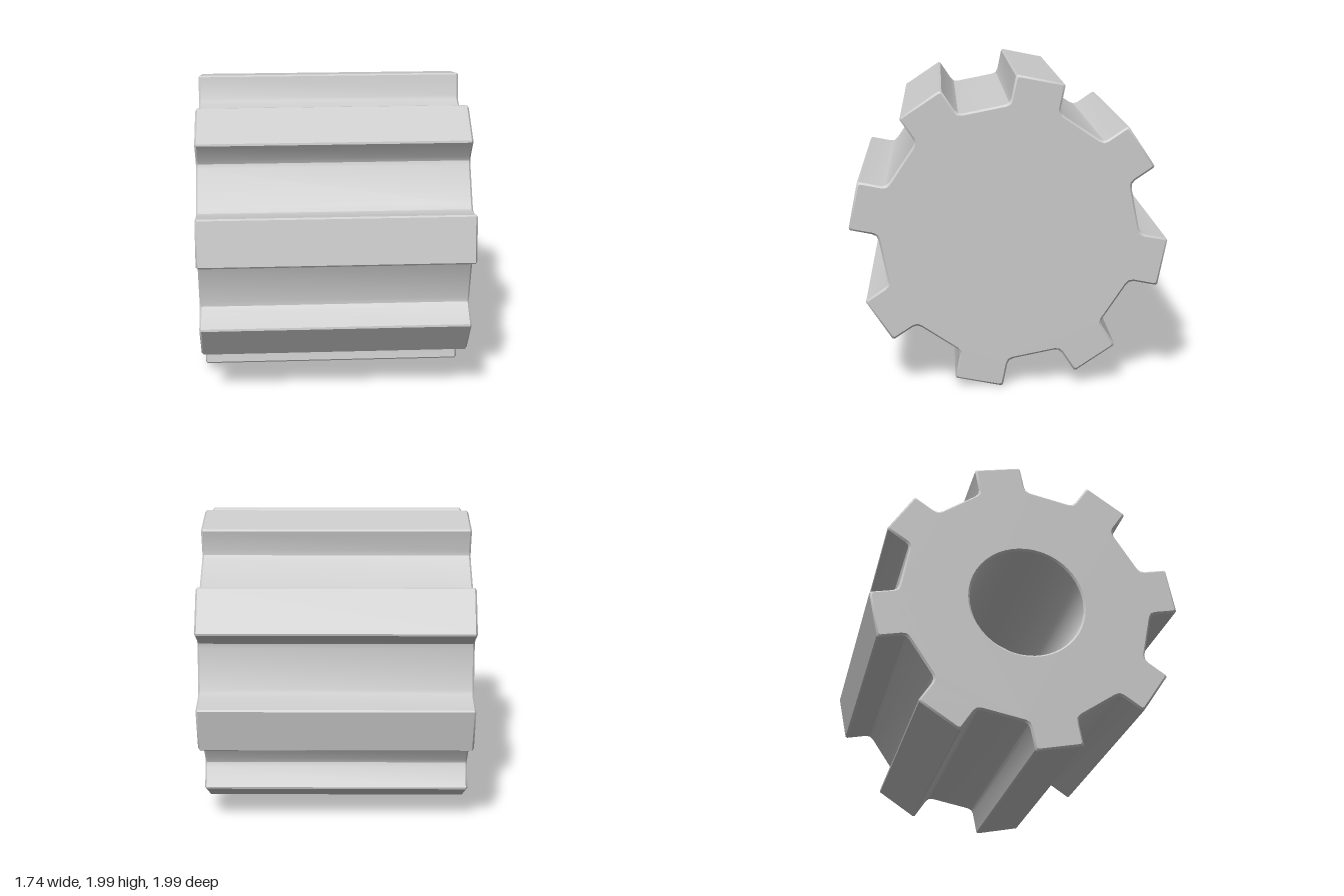
import * as THREE from 'three';
import { toCreasedNormals } from 'three/addons/utils/BufferGeometryUtils.js';

const TEETH = 8, HALF = 0.87, BEVEL = 0.012;
const HALF_TOOTH = 0.155, TIP = 0.988, ROOT = 0.804;
const BORE = 0.37, BORE_FLOOR = 0.5;

// Gear outline, counter-clockwise, shrunk by `inset`
function outline(inset) {
  const step = (2 * Math.PI) / TEETH, tilt = step / 4;
  const c = Math.cos(step / 2), s = Math.sin(step / 2);
  const w = HALF_TOOTH - inset, tip = TIP - inset;
  const root = (ROOT - inset - w * s) / c;
  const chamfer = 0.01, fillet = 0.035;
  // half a tooth: tip chamfer, then a small fillet into the root flat
  const half = [
    [w - chamfer, tip],
    [w, tip - chamfer],
    [w, root + fillet],
    [w + (fillet * c) / 4, root + (fillet * (1 - s)) / 4],
    [w + fillet * c, root - fillet * s],
  ];
  const tooth = [...half.map(([x, y]) => [-x, y]).reverse(), ...half];
  const points = [];
  for (let k = 0; k < TEETH; k++) {
    const a = Math.PI / 2 - tilt + k * step;
    for (const [side, r] of tooth) {
      points.push(new THREE.Vector2(
        r * Math.cos(a) + side * Math.sin(a),
        r * Math.sin(a) - side * Math.cos(a)));
    }
  }
  // each tooth is listed clockwise, so flip it within its own block
  const n = tooth.length, ordered = [];
  for (let k = 0; k < TEETH; k++) ordered.push(...points.slice(k * n, (k + 1) * n).reverse());
  return ordered;
}

// Toothed wall through bevelled cross-sections along z
function wallGeometry() {
  const sections = [
    [-HALF, BEVEL], [-HALF + BEVEL, 0], [HALF - BEVEL, 0], [HALF, BEVEL],
  ];
  const position = [], index = [];
  let n = 0;
  for (const [z, inset] of sections) {
    const loop = outline(inset);
    n = loop.length;
    for (const p of loop) position.push(p.x, p.y, z);
  }
  for (let j = 0; j < sections.length - 1; j++) {
    for (let i = 0; i < n; i++) {
      const a = j * n + i, b = j * n + (i + 1) % n;
      index.push(a, b, b + n, a, b + n, a + n);
    }
  }
  const geometry = new THREE.BufferGeometry();
  geometry.setAttribute('position', new THREE.Float32BufferAttribute(position, 3));
  geometry.setIndex(index);
  return toCreasedNormals(geometry, 0.62);
}

// Flat end; the far one is turned over and has the bore opening
function endGeometry(z, open) {
  const shape = new THREE.Shape(outline(BEVEL));
  if (open) shape.holes.push(new THREE.Path().absarc(0, 0, BORE + BEVEL, 0, 2 * Math.PI, true));
  const geometry = new THREE.ShapeGeometry(shape, 24);
  if (open) {
    geometry.index.array.reverse();
    geometry.attributes.normal.array.forEach((v, i, arr) => { arr[i] = -v; });
  }
  return geometry.translate(0, 0, z);
}

// Blind shaft hole with a chamfered mouth
function boreGeometry() {
  const profile = [
    [0, BORE_FLOOR], [BORE, BORE_FLOOR], [BORE, -HALF + BEVEL], [BORE + BEVEL, -HALF],
  ].map(([r, y]) => new THREE.Vector2(r, y));
  return toCreasedNormals(new THREE.LatheGeometry(profile, 48).rotateX(Math.PI / 2), 0.6);
}

export function createModel() {
  const group = new THREE.Group();
  group.name = 'pinionGear';
  const material = new THREE.MeshStandardMaterial({ color: 0xcccccc });
  const add = (name, geometry) => {
    // lay the gear axis along x
    const mesh = new THREE.Mesh(geometry.rotateY(Math.PI / 2).translate(0, 1, 0), material);
    mesh.name = name;
    group.add(mesh);
  };
  add('toothedWall', wallGeometry());
  add('closedEnd', endGeometry(HALF, false));
  add('boredEnd', endGeometry(-HALF, true));
  add('shaftBore', boreGeometry());
  return group;
}
